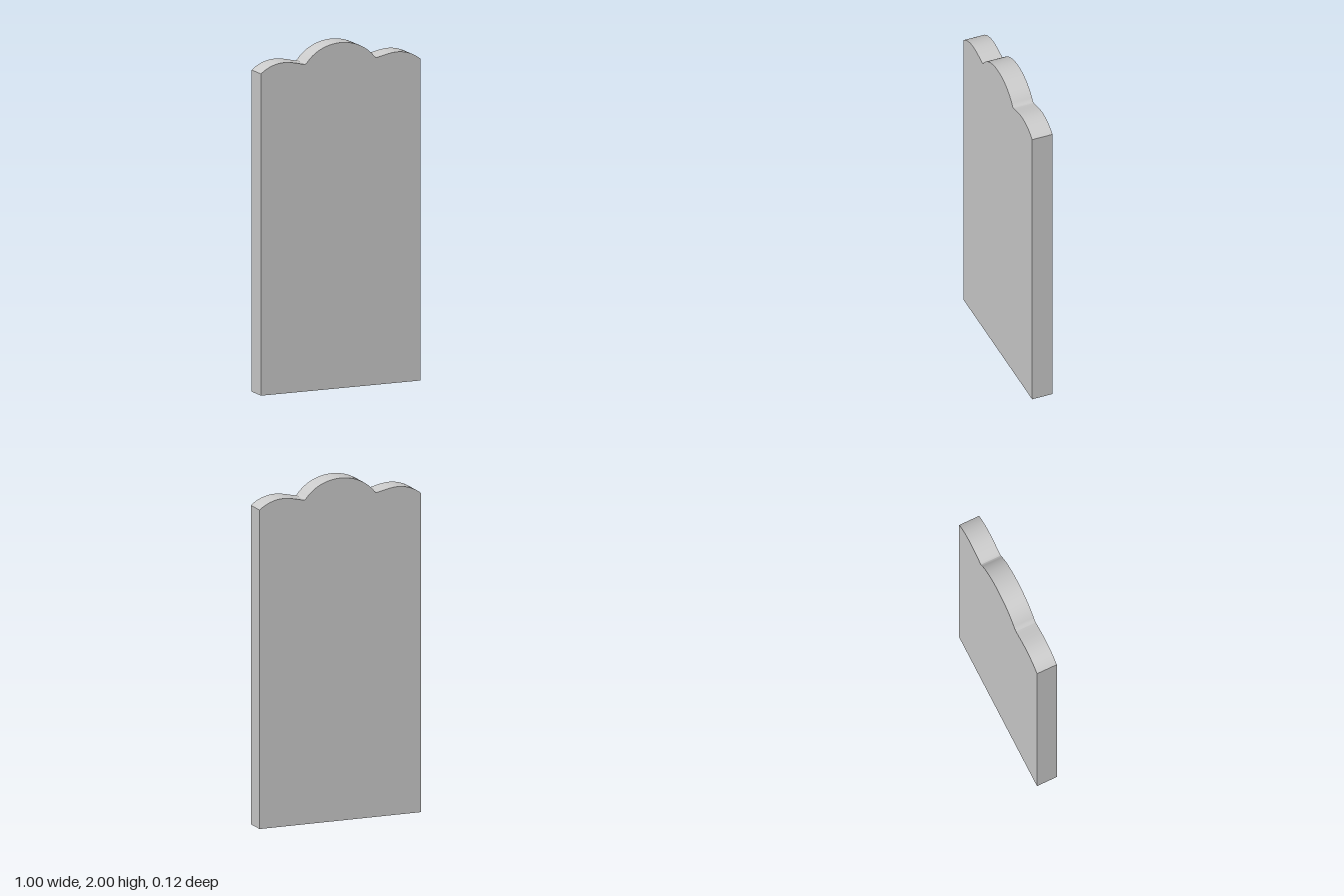
import * as THREE from 'three';
import { toCreasedNormals } from 'three/addons/utils/BufferGeometryUtils.js';

const HALF_WIDTH = 0.5;
const DEPTH = 0.125;

// Right half of the crest, from the crown to the shoulder: cubic Bezier spans
const crest = [
  [0.085, 2.0, 0.165, 1.963, 0.213, 1.9], // central arch
  [0.217, 1.894, 0.222, 1.893, 0.23, 1.894], // small rounded valley
  [0.27, 1.902, 0.31, 1.915, 0.355, 1.915], // side lobe, inner rise
  [0.41, 1.915, 0.465, 1.893, 0.5, 1.862], // side lobe, outer fall
];

function slabShape() {
  const shape = new THREE.Shape();
  shape.moveTo(-HALF_WIDTH, 0);
  shape.lineTo(HALF_WIDTH, 0);
  shape.lineTo(HALF_WIDTH, 1.862);
  // Right half, walked from shoulder to crown
  for (let i = crest.length - 1; i >= 0; i--) {
    const [ax, ay, bx, by] = crest[i];
    const [ex, ey] = i > 0 ? crest[i - 1].slice(4) : [0, 2];
    shape.bezierCurveTo(bx, by, ax, ay, ex, ey);
  }
  // Left half, mirrored, from crown to shoulder
  for (const [ax, ay, bx, by, ex, ey] of crest) {
    shape.bezierCurveTo(-ax, ay, -bx, by, -ex, ey);
  }
  shape.closePath();
  return shape;
}

export function createModel() {
  const group = new THREE.Group();
  group.name = 'headstone';

  // Upright slab with a three-lobed top, smooth along the crest
  const geometry = new THREE.ExtrudeGeometry(slabShape(), {
    depth: DEPTH, bevelEnabled: false, curveSegments: 14,
  });
  geometry.translate(0, 0, -DEPTH / 2);
  const slab = new THREE.Mesh(
    toCreasedNormals(geometry, 0.6),
    new THREE.MeshStandardMaterial({ color: 0xcccccc }),
  );
  slab.name = 'slab';
  group.add(slab);
  return group;
}
